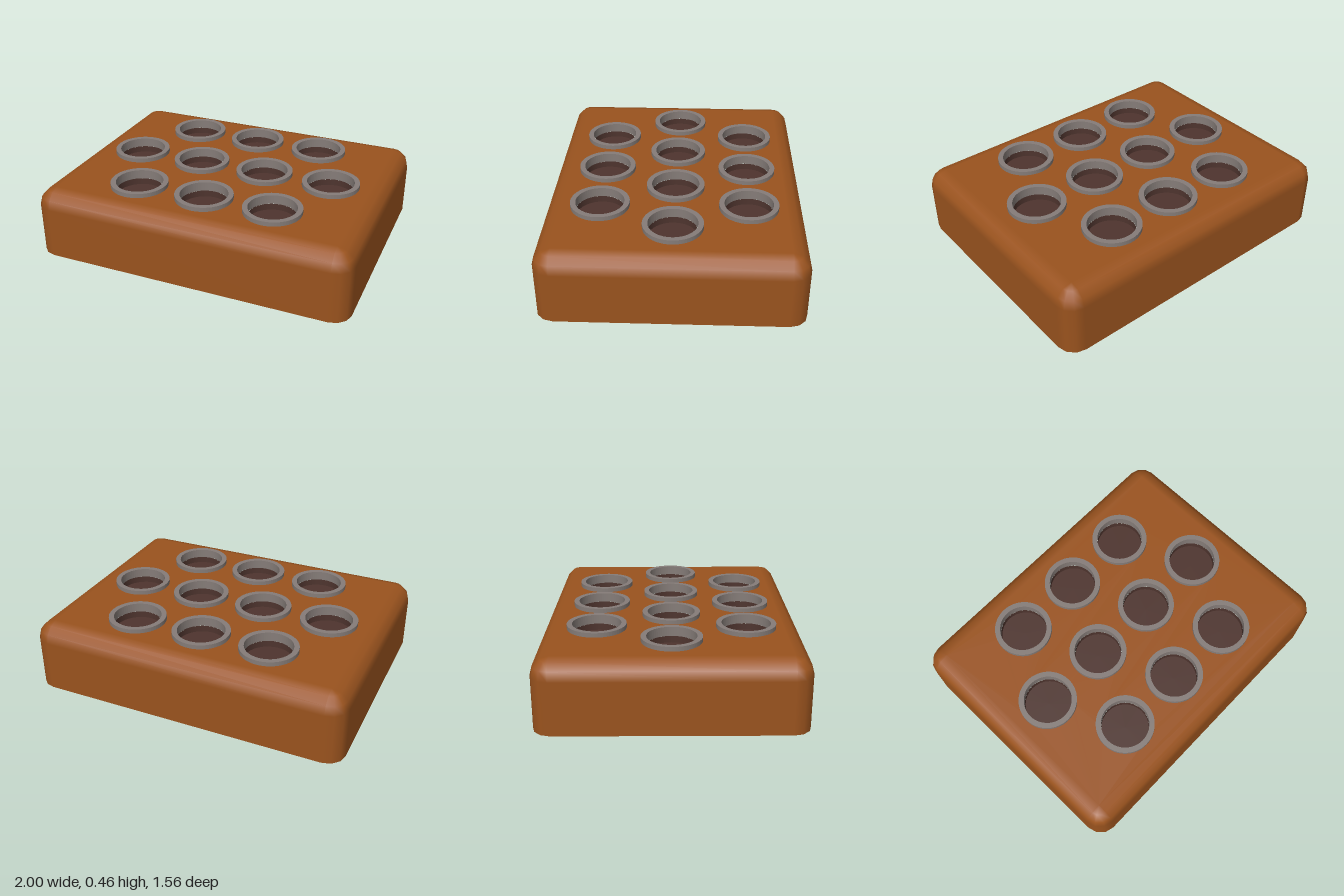
import * as THREE from 'three';

const HX = 1, HZ = 0.778, H = 0.43, R = 0.11, SEG = 3; // block half sizes, height, rounding
const RING_OUT = 0.178, RING_IN = 0.146, RING_TOP = 0.457, RING_LOW = 0.4, FLOOR = 0.36;

// hole centres in three staggered rows
const centres = [];
for (const [z, xs] of [[-0.444, [-1, 0, 1]], [0, [-1.5, -0.5, 0.5, 1.5]], [0.444, [-1, 0, 1]]])
  for (const x of xs) centres.push([x * 0.436, z]);

// outline of the block: corner centre plus outward angle, going round
function outline() {
  const pts = [];
  [[1, 1], [-1, 1], [-1, -1], [1, -1]].forEach(([sx, sz], q) => {
    for (let i = 0; i <= SEG; i++)
      pts.push({ cx: sx * (HX - R), cz: sz * (HZ - R), a: (q + i / SEG) * Math.PI / 2 });
  });
  return pts;
}

// sides and rounded upper edges, lofted upward with true round normals
function shellGeometry() {
  const pts = outline(), n = pts.length, pos = [], nor = [], idx = [];
  const levels = [[0, 0]];
  for (let j = 0; j <= SEG; j++) levels.push([H - R, j / SEG * Math.PI / 2]);
  levels.forEach(([y, t], j) => {
    for (const { cx, cz, a } of pts) {
      const nx = Math.cos(a) * Math.cos(t), ny = Math.sin(t), nz = Math.sin(a) * Math.cos(t);
      pos.push(cx + R * nx, y + R * ny, cz + R * nz);
      nor.push(nx, ny, nz);
    }
    if (j === 0) return;
    for (let i = 0; i < n; i++) {
      const k = (i + 1) % n, a = (j - 1) * n + i, b = (j - 1) * n + k, c = j * n + k, d = j * n + i;
      idx.push(a, d, c, a, c, b);
    }
  });
  const g = new THREE.BufferGeometry();
  g.setAttribute('position', new THREE.Float32BufferAttribute(pos, 3));
  g.setAttribute('normal', new THREE.Float32BufferAttribute(nor, 3));
  g.setIndex(idx);
  return g;
}

// flat top pierced by the holes
function topGeometry() {
  const w = HX - R, d = HZ - R;
  const shape = new THREE.Shape([[-w, -d], [w, -d], [w, d], [-w, d]].map(p => new THREE.Vector2(...p)));
  for (const [x, z] of centres)
    shape.holes.push(new THREE.Path().absarc(x, -z, RING_IN + 0.01, 0, Math.PI * 2, true));
  return new THREE.ShapeGeometry(shape, 24).rotateX(-Math.PI / 2).translate(0, H, 0);
}

function bottomGeometry() {
  const shape = new THREE.Shape(outline().map(({ cx, cz, a }) =>
    new THREE.Vector2(cx + R * Math.cos(a), cz + R * Math.sin(a))));
  return new THREE.ShapeGeometry(shape).rotateX(Math.PI / 2);
}

export function createModel() {
  const group = new THREE.Group();
  const wood = new THREE.MeshStandardMaterial({ color: 0x9a531e });
  const metal = new THREE.MeshStandardMaterial({ color: 0x857c78 });
  const dark = new THREE.MeshStandardMaterial({ color: 0x4e342e });
  const add = (parent, name, geometry, material) => {
    const mesh = new THREE.Mesh(geometry, material);
    mesh.name = name;
    parent.add(mesh);
  };

  // block
  const block = new THREE.Group();
  block.name = 'block';
  add(block, 'blockSides', shellGeometry(), wood);
  add(block, 'blockTop', topGeometry(), wood);
  add(block, 'blockBottom', bottomGeometry(), wood);
  group.add(block);

  // rim: square section ring, extruded so its edges stay sharp
  const ring = new THREE.Shape().absarc(0, 0, RING_OUT, 0, Math.PI * 2);
  ring.holes.push(new THREE.Path().absarc(0, 0, RING_IN, 0, Math.PI * 2, true));
  const rimGeo = new THREE.ExtrudeGeometry(ring, { depth: RING_TOP - RING_LOW, bevelEnabled: false, curveSegments: 32 })
    .rotateX(-Math.PI / 2).translate(0, RING_LOW, 0);

  // dark lining and floor of each hole
  const wallGeo = new THREE.CylinderGeometry(RING_IN, RING_IN, RING_LOW - FLOOR, 32, 1, true)
    .translate(0, (RING_LOW + FLOOR) / 2, 0);
  const floorGeo = new THREE.CircleGeometry(RING_IN, 32).rotateX(-Math.PI / 2).translate(0, FLOOR, 0);
  const lining = dark.clone();
  lining.side = THREE.DoubleSide;

  centres.forEach(([x, z]) => {
    const hole = new THREE.Group();
    hole.name = 'hole';
    hole.position.set(x, 0, z);
    add(hole, 'holeRim', rimGeo, metal);
    add(hole, 'holeWall', wallGeo, lining);
    add(hole, 'holeFloor', floorGeo, dark);
    group.add(hole);
  });
  return group;
}
